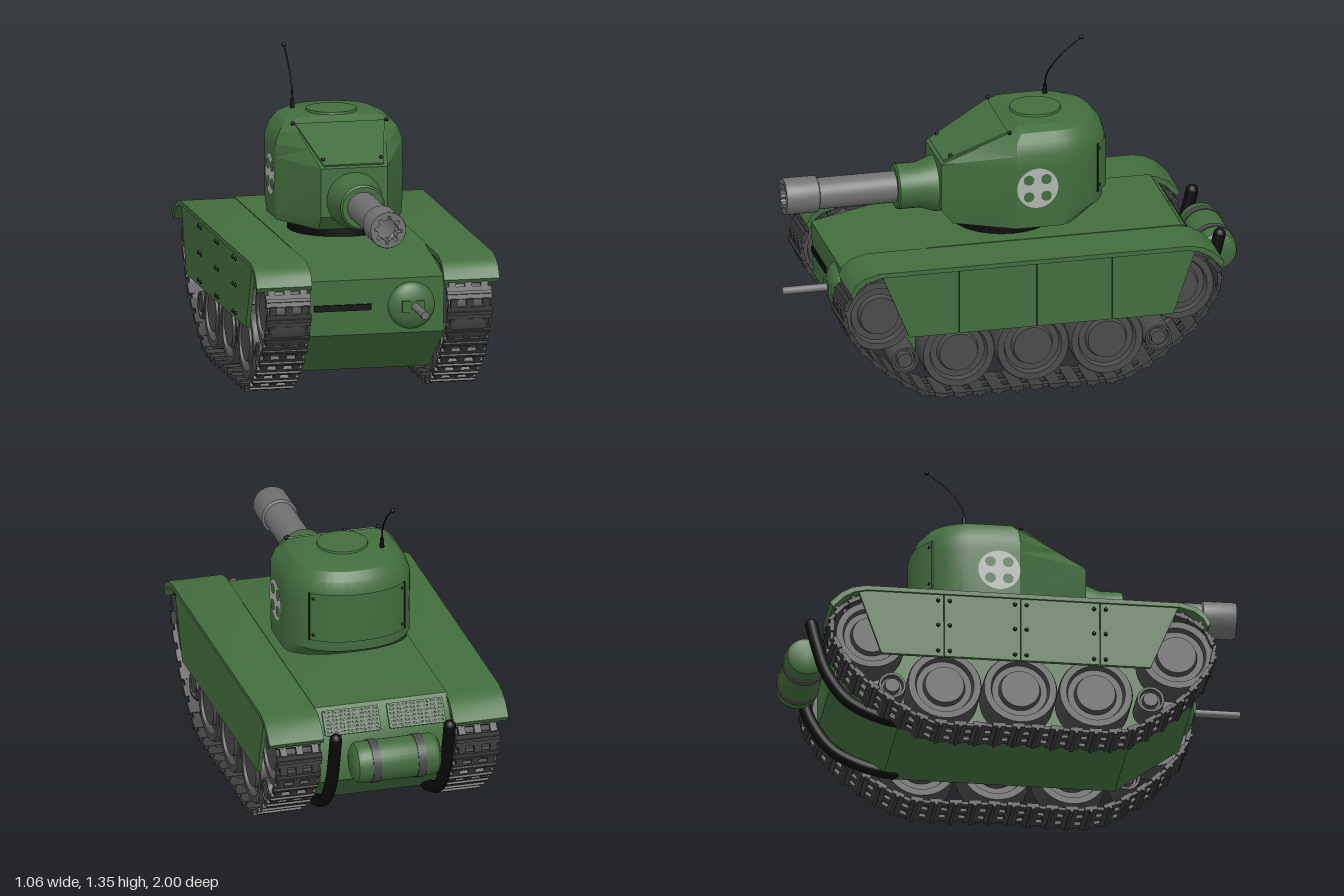
import * as THREE from 'three';
import { mergeGeometries, toCreasedNormals } from 'three/addons/utils/BufferGeometryUtils.js';

const mat = (name, color, side = THREE.FrontSide) =>
  Object.assign(new THREE.MeshStandardMaterial({ color, side }), { name });

export function createModel() {
  const green = mat('armour green', 0x426d3d);
  const steel = mat('gun steel', 0x707070, THREE.DoubleSide);
  const iron = mat('wheel iron', 0x4a4a4a);
  const trackGrey = mat('track grey', 0x3e3e3e);
  const black = mat('black', 0x0a0a0a, THREE.DoubleSide);
  const pale = mat('emblem grey', 0xb2b6b2, THREE.DoubleSide);

  const model = new THREE.Group();
  model.name = 'tank';
  const add = (parent, name, geo, m, x = 0, y = 0, z = 0) => {
    const mesh = new THREE.Mesh(geo, m);
    mesh.name = name;
    mesh.position.set(x, y, z);
    parent.add(mesh);
    return mesh;
  };
  const group = (parent, name, x = 0, y = 0, z = 0) => {
    const g = new THREE.Group();
    g.name = name;
    g.position.set(x, y, z);
    parent.add(g);
    return g;
  };
  const box = (w, h, d) => new THREE.BoxGeometry(w, h, d);
  const v2 = pts => pts.map(p => new THREE.Vector2(p[0], p[1]));
  // Side profile of [z, y] points, extruded from x0 to x1
  const sideExtrude = (pts, x0, x1) => {
    const g = new THREE.ExtrudeGeometry(new THREE.Shape(v2(pts)), { depth: x1 - x0, bevelEnabled: false });
    return toCreasedNormals(g.rotateY(-Math.PI / 2).translate(x1, 0, 0), 0.6);
  };
  // Turned part of [radius, position] points
  const lathe = (pts, seg = 32) => toCreasedNormals(new THREE.LatheGeometry(v2(pts), seg), 0.6);
  const bolt = new THREE.SphereGeometry(0.009, 10, 6);

  // Hull
  add(model, 'hull', sideExtrude([[0.39, 0.625], [-0.72, 0.625], [-0.8, 0.5], [-0.8, 0.31], [-0.52, 0.105],
    [0.48, 0.105], [0.755, 0.31], [0.765, 0.55]], -0.292, 0.292), green);
  add(model, 'visionSlit', box(0.25, 0.027, 0.02), black, -0.15, 0.43, 0.758);

  // Hull machine gun
  const mg = group(model, 'hullGun', 0.15, 0.43, 0.755);
  add(mg, 'ballMount', new THREE.SphereGeometry(0.103, 32, 20).scale(1, 1, 0.45), green);
  add(mg, 'gunPort', box(0.095, 0.05, 0.03), green, 0, 0, 0.035);
  add(mg, 'gunTube', new THREE.CylinderGeometry(0.017, 0.017, 0.22, 16).rotateX(Math.PI / 2), steel, 0.008, 0, 0.135);

  // Engine grilles on the sloped rear
  for (const s of [-1, 1]) {
    const grille = group(model, 'engineGrille', s * 0.143, 0.565, -0.762);
    grille.rotation.x = -2.571;
    add(grille, 'grilleBack', box(0.24, 0.1, 0.006), black);
    for (let i = 0; i < 7; i++) add(grille, 'slat', box(0.24, 0.007, 0.014), green, 0, -0.051 + i * 0.017, 0);
    for (let i = 0; i < 9; i++) add(grille, 'rib', box(0.008, 0.1, 0.012), green, -0.12 + i * 0.03, 0, 0);
  }

  // Rear fuel drum
  const drum = group(model, 'fuelDrum', -0.008, 0.435, -0.905);
  add(drum, 'drumBody', lathe([[0, -0.193], [0.065, -0.19], [0.083, -0.178], [0.09, -0.16], [0.09, 0.16],
    [0.083, 0.178], [0.065, 0.19], [0, 0.193]]).rotateZ(-Math.PI / 2), green);
  for (const s of [-1, 1])
    add(drum, 'drumBand', new THREE.CylinderGeometry(0.094, 0.094, 0.036, 32).rotateZ(Math.PI / 2), iron, s * 0.1);

  // Exhaust pipes wrapping the rear
  const pipe = new THREE.CatmullRomCurve3([[-0.48, 0.112], [-0.6, 0.135], [-0.74, 0.205], [-0.83, 0.33],
    [-0.87, 0.45], [-0.895, 0.55]].map(p => new THREE.Vector3(0, p[1], p[0])));
  for (const x of [-0.255, 0.25]) {
    const ex = group(model, 'exhaust', x);
    add(ex, 'exhaustPipe', new THREE.TubeGeometry(pipe, 40, 0.027, 14), black);
    for (const t of [0, 1]) {
      const p = pipe.getPoint(t);
      add(ex, 'exhaustEnd', new THREE.SphereGeometry(0.027, 14, 8), black, 0, p.y, p.z);
    }
  }

  // Running gear, shared between both sides
  const wheelGeo = (r, w) => lathe([[0, -w], [r * 0.52, -w], [r * 0.57, -w * 0.65], [r * 0.74, -w * 0.65],
    [r * 0.79, -w], [r * 0.97, -w], [r, -w * 0.85], [r, w * 0.85], [r * 0.97, w], [r * 0.79, w],
    [r * 0.74, w * 0.65], [r * 0.57, w * 0.65], [r * 0.52, w], [0, w]], 36).rotateZ(-Math.PI / 2);
  const wheels = [['frontSprocket', 0.647, 0.405, 0.16], ['rearIdler', -0.665, 0.42, 0.155],
    ['roadWheel', 0.3, 0.205, 0.16], ['roadWheel', -0.025, 0.205, 0.16], ['roadWheel', -0.35, 0.205, 0.16],
    ['supportRoller', 0.535, 0.19, 0.06], ['supportRoller', -0.575, 0.19, 0.06]];
  const trackPath = new THREE.CatmullRomCurve3([[0.38, 0.024], [0.47, 0.05], [0.69, 0.22], [0.8, 0.4],
    [0.77, 0.51], [0.66, 0.582], [0.3, 0.59], [-0.4, 0.59], [-0.7, 0.588], [-0.815, 0.51], [-0.835, 0.43],
    [-0.75, 0.265], [-0.61, 0.14], [-0.46, 0.048], [-0.38, 0.024], [0, 0.024]]
    .map(p => new THREE.Vector3(0, p[1], p[0])), true, 'centripetal');
  const LINKS = 46, pitch = trackPath.getLength() / LINKS;
  const linkGeo = mergeGeometries([
    box(0.195, 0.018, pitch * 0.66),
    box(0.195, 0.012, 0.014).translate(0, -0.012, 0),
    ...[-0.07, 0, 0.07].map(x => box(0.03, 0.014, pitch * 0.5).translate(x, 0, pitch / 2)),
  ]);

  // Fender profile with thickness
  const fenderTop = [[0.785, 0.535], [0.765, 0.575], [0.725, 0.605], [0.66, 0.622], [-0.7, 0.622],
    [-0.755, 0.61], [-0.8, 0.585], [-0.85, 0.535]];
  const fenderPts = [...fenderTop, ...fenderTop.map(([z, y]) => [z * 0.985, y - 0.02]).reverse()];
  const seams = [0.31, -0.03, -0.36];

  for (const s of [-1, 1]) {
    const side = group(model, s > 0 ? 'leftRunningGear' : 'rightRunningGear');
    const cx = s * 0.395;
    for (const [name, z, y, r] of wheels) add(side, name, wheelGeo(r, 0.075), iron, cx, y, z);
    for (let i = 0; i < LINKS; i++) {
      const p = trackPath.getPointAt(i / LINKS), t = trackPath.getTangentAt(i / LINKS);
      const link = add(side, 'trackLink', linkGeo, trackGrey, cx, p.y, p.z);
      link.rotation.x = Math.atan2(-t.y, t.z);
    }
    add(side, 'fender', sideExtrude(fenderPts, s > 0 ? 0.288 : -0.53, s > 0 ? 0.53 : -0.288), green);
    // Skirt panels with narrow seams
    const edges = [[0.65, 0.53], ...seams.map(z => [z, z]), [-0.73, -0.63]];
    for (let i = 0; i < 4; i++) {
      const [a, b] = [edges[i], edges[i + 1]], g = 0.002;
      add(side, 'skirtPanel', sideExtrude([[a[0] - g, 0.606], [b[0] + g, 0.606], [b[1] + g, 0.315], [a[1] - g, 0.315]],
        s > 0 ? 0.503 : -0.52, s > 0 ? 0.52 : -0.503), green);
    }
  }
  for (const z of seams) for (const d of [-0.025, 0.025]) for (const y of [0.34, 0.46, 0.575])
    add(model, 'skirtBolt', bolt, black, -0.52, y, z + d);

  // Turret: outlines [y, front z, front half width, half width, shoulder z, back z]
  const turret = group(model, 'turret', 0.005);
  const outline = ([y, zf, wf, w, zc, zb], grow = 0) => {
    const half = [[wf, zf], [w, zc]], z0 = -0.18, n = 12;
    for (let i = 0; i <= n; i++) {
      const a = i / n * Math.PI / 2;
      half.push([(w + grow) * Math.cos(a) ** 0.85, z0 + (zb - grow - z0) * Math.sin(a) ** 0.95]);
    }
    return [...half, ...half.slice(0, -1).reverse().map(([x, z]) => [-x, z])].map(([x, z]) => [x, y, z]);
  };
  const levels = [[0.667, 0.25, 0.145, 0.272, 0, -0.31], [0.73, 0.3, 0.145, 0.277, 0, -0.425],
    [0.94, 0.3, 0.145, 0.277, 0, -0.438], [1.0, 0.176, 0.168, 0.277, 0, -0.436], [1.05, 0.072, 0.188, 0.258, -0.005, -0.42],
    [1.085, 0, 0.202, 0.228, -0.03, -0.39], [1.104, -0.03, 0.175, 0.185, -0.05, -0.34]];
  const shell = new THREE.BufferGeometry();
  const loops = levels.map(l => outline(l)), N = loops[0].length, verts = loops.flat(), idx = [];
  for (let i = 0; i < loops.length - 1; i++) for (let j = 0; j < N; j++) {
    const k = (j + 1) % N, a = i * N + j, b = i * N + k;
    idx.push(a, b, b + N, a, b + N, a + N);
  }
  const top = (loops.length - 1) * N, c0 = verts.length;
  verts.push([0, 0.667, -0.05], [0, 1.106, -0.15]);
  for (let j = 0; j < N; j++) {
    const k = (j + 1) % N;
    idx.push(c0, k, j, c0 + 1, top + j, top + k);
  }
  shell.setAttribute('position', new THREE.Float32BufferAttribute(verts.flat(), 3));
  shell.setIndex(idx);
  add(turret, 'turretShell', toCreasedNormals(shell, 0.4), green);
  add(turret, 'turretRing', new THREE.CylinderGeometry(0.218, 0.218, 0.06, 40), black, -0.003, 0.645, 0);
  add(turret, 'hatch', new THREE.CylinderGeometry(0.108, 0.112, 0.016, 40), green, 0, 1.106, -0.145);

  // Sloped front plate and its bolts
  const plate = new THREE.ExtrudeGeometry(new THREE.Shape(v2([[-0.13, 0], [0.13, 0], [0.195, 0.3], [-0.195, 0.3]])),
    { depth: 0.008, bevelEnabled: false }).rotateX(-1.118);
  add(turret, 'frontPlate', plate, green, 0, 0.947, 0.286);
  for (const s of [-1, 1]) {
    add(turret, 'plateBolt', bolt, black, s * 0.205, 1.085, 0.015);
    add(turret, 'plateBolt', bolt, black, s * 0.127, 0.972, 0.255);
  }

  // Curved rear plate following the shell
  const strip = [0.78, 1.0].map(y => outline([y, 0.3, 0.145, 0.277, 0, -0.438], 0.006).slice(8, N - 8));
  const rear = new THREE.BufferGeometry(), M = strip[0].length, ri = [];
  for (let j = 0; j < M - 1; j++) ri.push(j, j + 1, j + 1 + M, j, j + 1 + M, j + M);
  rear.setAttribute('position', new THREE.Float32BufferAttribute(strip.flat(2), 3));
  rear.setIndex(ri);
  rear.computeVertexNormals();
  add(turret, 'rearPlate', rear, green);
  for (const e of [0, M - 1]) {
    const [x, , z] = strip[0][e];
    add(turret, 'rearPlateEdge', box(0.006, 0.22, 0.006), black, x, 0.89, z);
    for (const y of [0.805, 0.975]) add(turret, 'rearBolt', bolt, black, x * 0.92, y, z - 0.008);
  }

  // Round side emblems with cut-outs
  const disc = new THREE.Shape().absarc(0, 0, 0.09, 0, Math.PI * 2);
  for (let i = 0; i < 4; i++) {
    const a = Math.PI / 4 + i * Math.PI / 2;
    disc.holes.push(new THREE.Path().absarc(0.054 * Math.cos(a), 0.054 * Math.sin(a), 0.023, 0, Math.PI * 2, true));
  }
  for (const s of [-1, 1])
    add(turret, 'emblem', new THREE.ShapeGeometry(disc, 24).rotateY(s * Math.PI / 2), pale, s * 0.281, 0.85, -0.09);

  // Main gun
  const gun = group(turret, 'mainGun', 0, 0.8, 0);
  gun.rotation.x = Math.PI / 2;
  add(gun, 'mantlet', lathe([[0, 0.24], [0.12, 0.24], [0.12, 0.305], [0.098, 0.37], [0.098, 0.465], [0.09, 0.472], [0, 0.472]]), green);
  add(gun, 'barrel', lathe([[0.068, 0.46], [0.068, 0.81], [0.079, 0.815], [0.08, 0.95], [0.077, 0.957]]), steel);
  const crown = new THREE.Shape().absarc(0, 0, 0.077, 0, Math.PI * 2);
  const bore = [];
  for (let i = 0; i < 64; i++) {
    const a = -i / 64 * Math.PI * 2, r = i % 8 < 3 ? 0.06 : 0.044;
    bore.push([r * Math.cos(a), r * Math.sin(a)]);
  }
  crown.holes.push(new THREE.Path(v2(bore)));
  add(gun, 'muzzleCrown', new THREE.ExtrudeGeometry(crown, { depth: 0.06, bevelEnabled: false, curveSegments: 32 })
    .rotateX(-Math.PI / 2), steel, 0, 0.898, 0);

  // Aerial
  const aerial = group(turret, 'aerial', -0.153);
  add(aerial, 'aerialBase', new THREE.CylinderGeometry(0.008, 0.011, 0.045, 12), black, 0, 1.122, -0.225);
  const whip = new THREE.CatmullRomCurve3([[-0.225, 1.14], [-0.233, 1.19], [-0.295, 1.273], [-0.385, 1.345]]
    .map(p => new THREE.Vector3(0, p[1], p[0])));
  add(aerial, 'aerialWhip', new THREE.TubeGeometry(whip, 24, 0.0035, 8), black);
  add(aerial, 'aerialTip', new THREE.SphereGeometry(0.01, 12, 8), black, 0, 1.345, -0.385);

  return model;
}
